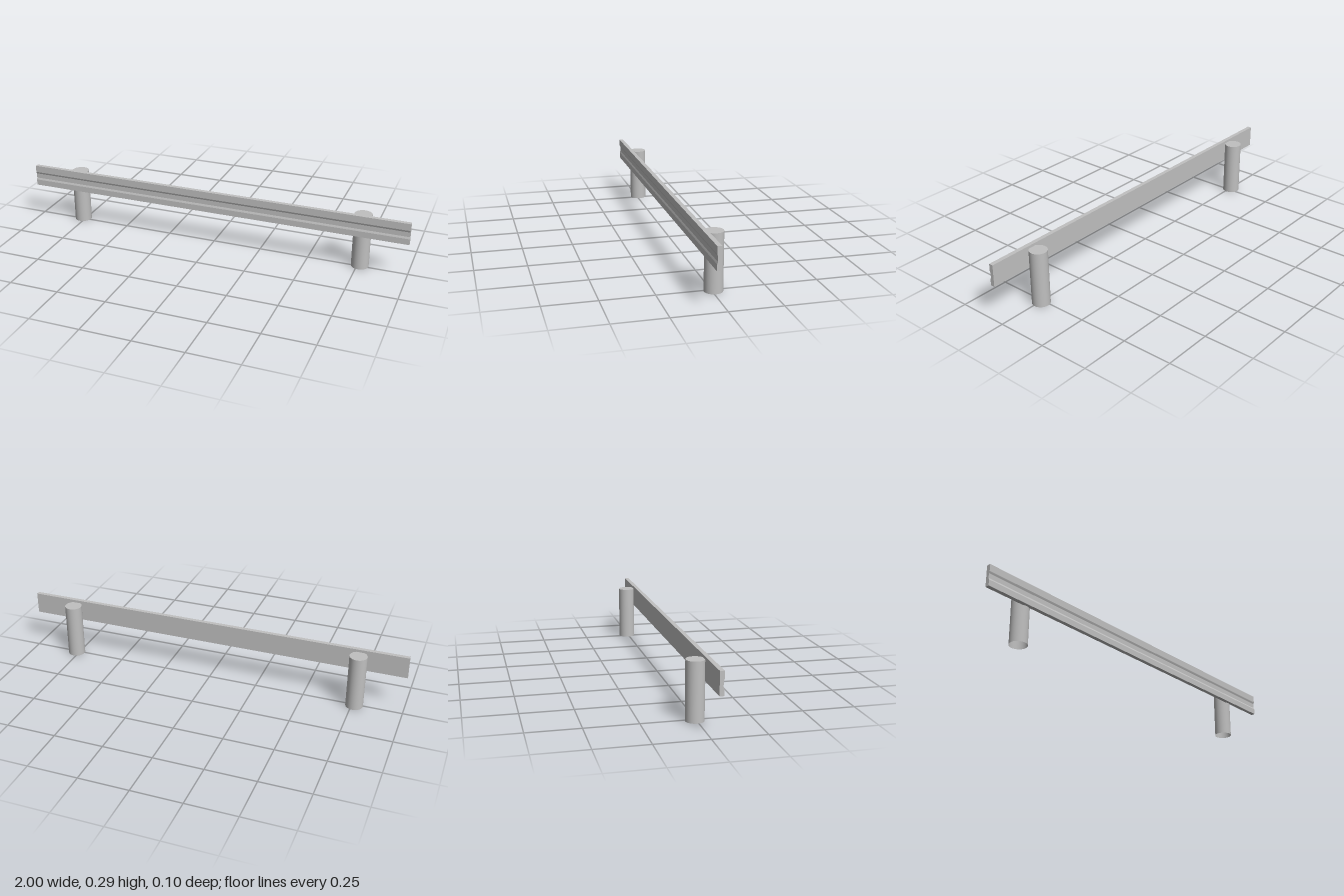
import * as THREE from 'three';

export function createModel() {
  const model = new THREE.Group();
  model.name = 'guardRail';
  const steel = new THREE.MeshStandardMaterial({ color: 0xc0c0c0, side: THREE.DoubleSide });
  steel.name = 'galvanised steel';

  // Rail: constant section (z, y) with a shallow groove along the front
  const section = new THREE.Shape([
    [0.031, 0.184], [0.052, 0.184], [0.052, 0.214], [0.0505, 0.218], [0.048, 0.224],
    [0.048, 0.248], [0.0505, 0.254], [0.052, 0.258], [0.052, 0.293], [0.031, 0.293],
  ].map(([z, y]) => new THREE.Vector2(z, y)));
  const railGeometry = new THREE.ExtrudeGeometry(section, { depth: 2, bevelEnabled: false });
  railGeometry.translate(0, 0, -1).rotateY(-Math.PI / 2);
  const rail = new THREE.Mesh(railGeometry, steel);
  rail.name = 'rail';
  model.add(rail);

  // Posts: round tubes, capped on top and open at the bottom
  const radius = 0.0435, height = 0.28;
  const tube = new THREE.CylinderGeometry(radius, radius, height, 32, 1, true);
  const disc = new THREE.CircleGeometry(radius, 32).rotateX(-Math.PI / 2);
  for (const side of [-1, 1]) {
    const post = new THREE.Group();
    post.name = side > 0 ? 'leftPost' : 'rightPost';
    const wall = new THREE.Mesh(tube, steel);
    wall.name = 'postWall';
    wall.position.y = height / 2;
    const cap = new THREE.Mesh(disc, steel);
    cap.name = 'postCap';
    cap.position.y = height;
    post.add(wall, cap);
    post.position.set(side * 0.763, 0, -0.0075);
    model.add(post);
  }
  return model;
}
